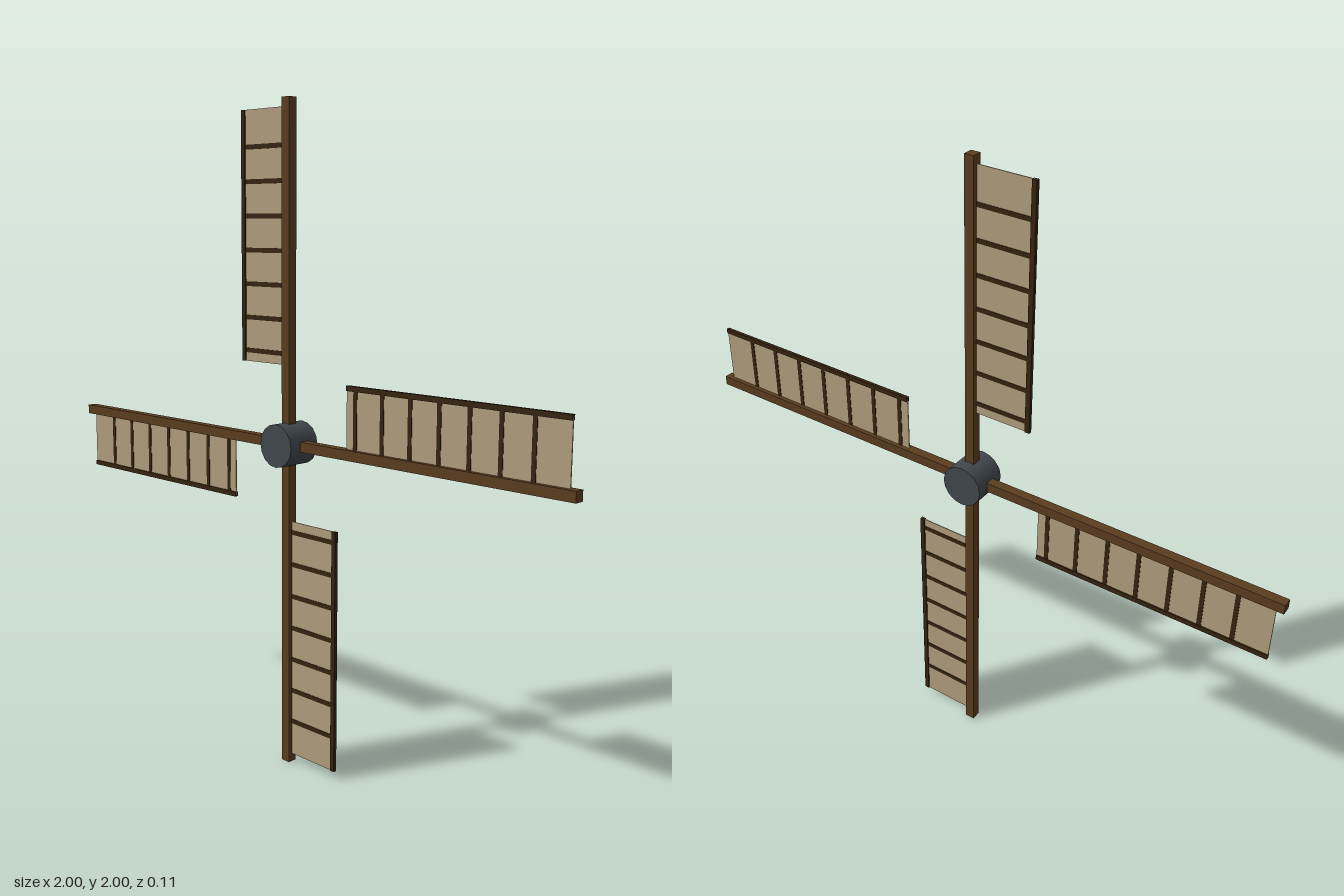
import * as THREE from 'three';

const flat = (name, color, extra = {}) => {
  const m = new THREE.MeshStandardMaterial({ color, ...extra });
  m.name = name;
  return m;
};

export function createModel() {
  const wood = flat('brown wood', 0x5a3d1f);
  const darkWood = flat('dark wood', 0x35230f);
  const canvas = flat('sail canvas', 0xb09d7d, { side: THREE.DoubleSide });
  const iron = flat('dark iron', 0x41474d);

  const root = new THREE.Group();
  root.name = 'windmillSails';

  const box = (parent, name, size, pos, material) => {
    const mesh = new THREE.Mesh(new THREE.BoxGeometry(...size), material);
    mesh.name = name;
    mesh.position.set(...pos);
    parent.add(mesh);
  };

  // Rotor centred one unit above the ground
  const rotor = new THREE.Group();
  rotor.name = 'rotor';
  rotor.position.y = 1;
  root.add(rotor);

  // Round hub with its axis along z
  const hub = new THREE.Mesh(new THREE.CylinderGeometry(0.065, 0.065, 0.11, 16), iron);
  hub.name = 'hub';
  hub.rotation.x = Math.PI / 2;
  rotor.add(hub);

  // Four equal blades, each with its lattice on one side of the arm
  for (let i = 0; i < 4; i++) {
    const blade = new THREE.Group();
    blade.name = 'blade' + (i + 1);
    blade.rotation.z = i * Math.PI / 2;
    rotor.add(blade);

    box(blade, 'arm', [0.03, 1, 0.03], [0, 0.5, 0], wood);
    box(blade, 'sail', [0.185, 0.74, 0.003], [-0.1, 0.605, 0], canvas);
    box(blade, 'outerRail', [0.015, 0.74, 0.011], [-0.19, 0.605, 0], darkWood);
    for (let k = 0; k < 7; k++) {
      box(blade, 'slat', [0.188, 0.014, 0.006], [-0.104, 0.268 + k * 0.1, 0], darkWood);
    }
  }

  return root;
}
